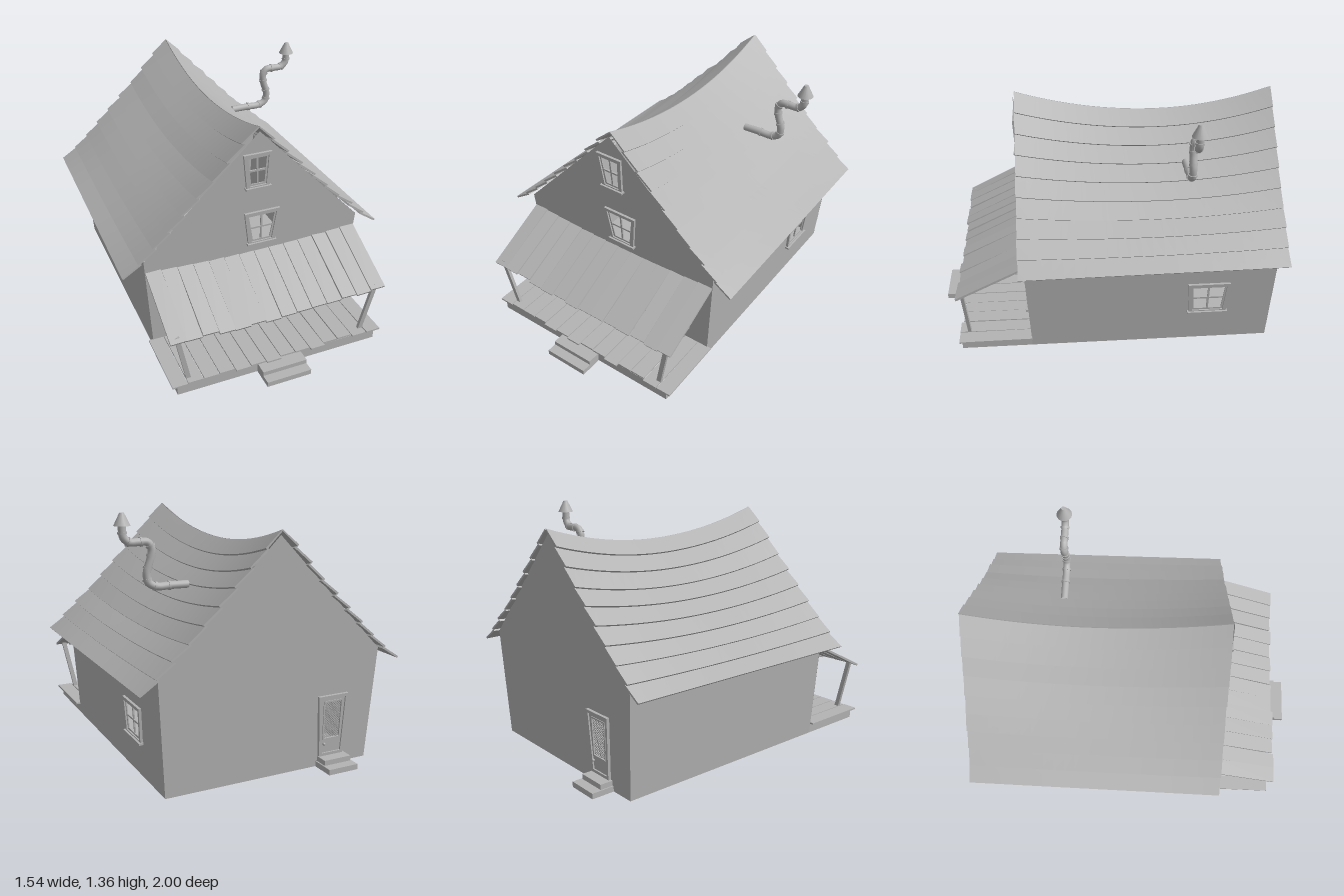
import * as THREE from 'three';

const grey = new THREE.MeshStandardMaterial({ color: 0xb3b3b3, side: THREE.DoubleSide });
grey.name = 'grey';

let seed = 7;
const rand = (a, b) => {
  seed = (seed * 16807) % 2147483647;
  return a + (b - a) * (seed / 2147483647);
};

function add(parent, name, geometry, x = 0, y = 0, z = 0) {
  const m = new THREE.Mesh(geometry, grey);
  m.name = name;
  m.position.set(x, y, z);
  parent.add(m);
  return m;
}
function group(parent, name) {
  const g = new THREE.Group();
  g.name = name;
  parent.add(g);
  return g;
}

// Crooked four-sided openings: [left, right, y] of the bottom, then of the top
const inset = (q, d) => [q[0] + d, q[1] - d, q[2] + d, q[3] + d, q[4] - d, q[5] - d];
const poly = (pts) => new THREE.Shape(pts.map((p) => new THREE.Vector2(p[0], p[1])));
const quad = (q) => poly([[q[0], q[2]], [q[1], q[2]], [q[4], q[5]], [q[3], q[5]]]);
const slab = (shape, depth) => new THREE.ExtrudeGeometry(shape, { depth, bevelEnabled: false });

// Straight bar in the wall plane
function bar(parent, name, a, b, width, depth, z) {
  const dx = b[0] - a[0], dy = b[1] - a[1];
  const m = add(parent, name, new THREE.BoxGeometry(Math.hypot(dx, dy), width, depth),
    (a[0] + b[0]) / 2, (a[1] + b[1]) / 2, z);
  m.rotation.z = Math.atan2(dy, dx);
}

function frame(parent, name, q, width, depth) {
  const s = quad(q);
  s.holes.push(quad(inset(q, width)));
  return add(parent, name, slab(s, depth));
}

function addWindow(parent, q) {
  const g = group(parent, 'window');
  frame(g, 'windowFrame', q, 0.018, 0.014);
  const i = inset(q, 0.014);
  const midY = (i[2] + i[5]) / 2;
  frame(g, 'windowSash', i, 0.014, 0.006);
  bar(g, 'verticalMuntin', [(i[0] + i[1]) / 2, i[2]], [(i[3] + i[4]) / 2, i[5]], 0.01, 0.008, 0);
  bar(g, 'crossMuntin', [(i[0] + i[3]) / 2, midY], [(i[1] + i[4]) / 2, midY], 0.01, 0.008, 0);
  add(g, 'windowSill', new THREE.BoxGeometry(q[1] - q[0] + 0.016, 0.012, 0.026),
    (q[0] + q[1]) / 2, q[2] + 0.006, 0.012);
}

// Door with a fine diagonal screen in its upper part
function addDoor(parent, q, pane, knob) {
  const g = group(parent, 'door');
  frame(g, 'doorFrame', q, 0.016, 0.016);
  const leaf = quad(inset(q, 0.014));
  leaf.holes.push(quad(pane));
  add(g, 'doorLeaf', slab(leaf, 0.008));
  frame(g, 'paneTrim', pane, 0.008, 0.012);
  const w = pane[1] - pane[0], h = pane[5] - pane[2];
  for (let c = -h + 0.008; c < w; c += 0.013) {
    const a = [Math.max(0, c), Math.max(0, -c)], b = [Math.min(w, h + c), Math.min(h, w - c)];
    bar(g, 'screenWire', [pane[0] + a[0], pane[2] + a[1]], [pane[0] + b[0], pane[2] + b[1]], 0.003, 0.003, 0.003);
    bar(g, 'screenWire', [pane[1] - a[0], pane[2] + a[1]], [pane[1] - b[0], pane[2] + b[1]], 0.003, 0.003, 0.003);
  }
  add(g, 'doorKnob', new THREE.SphereGeometry(0.008, 12, 8), knob[0], knob[1], 0.018);
}

// Flat wall with openings, turned to its side and leaning outward
function addWall(parent, name, outline, x, z, turn, lean, windows, door) {
  const g = group(parent, name);
  g.position.set(x, 0, z);
  g.rotation.set(lean, turn, 0, 'YXZ');
  const s = poly(outline);
  windows.forEach((q) => s.holes.push(quad(inset(q, 0.016))));
  if (door) s.holes.push(quad(door.pane));
  add(g, name + 'Panel', new THREE.ShapeGeometry(s));
  windows.forEach((q) => addWindow(g, q));
  if (door) addDoor(g, door.outer, door.pane, door.knob);
}

// Sagging, slightly flared roof surface: u = 0 at the ridge, 1 at the eave
const ridge = (z) => 1.18 + (z > -0.25 ? 0.21 : 0.25) * (z + 0.25) ** 2;
const roofY = (u, z) => ridge(z) + (0.555 - ridge(z)) * u - 0.1 * u * (1 - u);

function roofPlank(u0, u1, zBack, zFront, tilt) {
  const geo = new THREE.BoxGeometry(1, 1, 1, 1, 1, 24);
  const p = geo.attributes.position;
  for (let i = 0; i < p.count; i++) {
    const s = p.getX(i) + 0.5, t = p.getY(i) + 0.5;
    const z = zBack + (zFront - zBack) * (p.getZ(i) + 0.5);
    const u = u0 + (u1 - u0) * s;
    const lift = tilt * s + 0.011 * t - 0.008;
    p.setXYZ(i, Math.max(0, u * (0.748 + 0.01 * z) + lift * 0.7), roofY(u, z) + lift * 0.7, z);
  }
  geo.computeVertexNormals();
  return geo;
}

export function createModel() {
  const house = new THREE.Group();
  house.name = 'crookedCottage';

  // Walls
  const walls = group(house, 'walls');
  const gable = (peak) => [[-0.6, 0], [0.6, 0], [0.642, 0.625], [0, peak], [-0.642, 0.625]];
  addWall(walls, 'frontWall', gable(1.285), 0, 0.475, 0, 0.045, [
    [-0.065, 0.067, 0.95, -0.09, 0.073, 1.163],
    [-0.04, 0.118, 0.584, -0.07, 0.14, 0.796],
    [-0.457, -0.302, 0.143, -0.5, -0.285, 0.4],
    [0.286, 0.477, 0.147, 0.268, 0.495, 0.4],
  ], {
    outer: [-0.118, 0.1, 0.065, -0.142, 0.138, 0.41],
    pane: [-0.097, 0.08, 0.192, -0.1, 0.085, 0.37], knob: [0.063, 0.178],
  });
  addWall(walls, 'backWall', gable(1.27), 0, -0.87, Math.PI, 0.036, [], {
    outer: [0.29, 0.44, 0.06, 0.27, 0.455, 0.4],
    pane: [0.308, 0.42, 0.15, 0.305, 0.425, 0.37], knob: [0.315, 0.13],
  });
  const top = [];
  for (let i = 0; i <= 10; i++) {
    const z = -0.892 + 1.395 * (i / 10);
    top.push([-z, roofY(0.855, z) - 0.022]);
  }
  const side = [[-0.475, 0], [0.87, 0], ...top];
  addWall(walls, 'leftWall', side, 0.6, 0, Math.PI / 2, 0.065, [[0.41, 0.62, 0.195, 0.4, 0.635, 0.395]]);
  addWall(walls, 'rightWall', side.map(([x, y]) => [-x, y]).reverse(), -0.6, 0, -Math.PI / 2, 0.065, []);
  add(walls, 'floor', new THREE.BoxGeometry(1.2, 0.004, 1.345), 0, 0.002, -0.1975);

  // Roof planks on both slopes
  const roof = group(house, 'roof');
  for (const sx of [1, -1]) {
    for (let i = 0; i < 9; i++) {
      const u0 = Math.max(0, i / 9 - 0.008);
      const plank = roofPlank(u0, (i + 1) / 9, -0.93 + rand(0, 0.006), 0.53 - rand(0, 0.006), rand(0.008, 0.02));
      add(roof, 'roofPlank', plank).scale.x = sx;
    }
  }

  // Porch skirt and deck
  const porch = group(house, 'porch');
  add(porch, 'frontSkirt', new THREE.BoxGeometry(1.2, 0.058, 0.015), 0, 0.029, 0.862);
  for (const sx of [1, -1]) {
    add(porch, 'sideSkirt', new THREE.BoxGeometry(0.015, 0.058, 0.39), sx * 0.5925, 0.029, 0.67);
  }
  for (let i = 0; i < 14; i++) {
    const len = 0.405 + rand(-0.012, 0.012);
    const m = add(porch, 'deckPlank', new THREE.BoxGeometry(0.086, 0.009, len),
      -0.587 + i * 0.0903, 0.063 + rand(-0.001, 0.002), 0.475 + len / 2);
    m.rotation.y = rand(-0.008, 0.008);
  }

  // Leaning porch posts
  for (const sx of [1, -1]) {
    const a = new THREE.Vector3(sx * 0.525, 0.062, 0.83), b = new THREE.Vector3(sx * 0.59, 0.375, 0.847);
    const post = add(porch, 'porchPost', new THREE.BoxGeometry(0.026, a.distanceTo(b), 0.018));
    post.position.copy(a).lerp(b, 0.5);
    post.quaternion.setFromUnitVectors(new THREE.Vector3(0, 1, 0), b.clone().sub(a).normalize());
  }

  // Porch roof planks, dipping in the middle
  for (let i = 0; i < 14; i++) {
    const x = -0.59 + i * 0.0908;
    const dip = 0.025 * (1 - (x / 0.6) ** 2);
    const len = 0.425 + rand(-0.008, 0.006);
    const geo = new THREE.BoxGeometry(0.088, 0.012, len);
    geo.translate(0, 0, len / 2);
    const m = add(porch, 'porchRoofPlank', geo, x, 0.55 - dip, 0.493);
    m.rotation.set(0.46 + rand(-0.012, 0.012), rand(-0.008, 0.008), rand(-0.04, 0.04));
  }

  // Front and back steps
  const steps = group(house, 'steps');
  add(steps, 'frontLowerStep', new THREE.BoxGeometry(0.262, 0.03, 0.13), -0.005, 0.015, 0.935);
  add(steps, 'frontUpperStep', new THREE.BoxGeometry(0.262, 0.025, 0.075), -0.005, 0.0425, 0.907);
  add(steps, 'backLowerStep', new THREE.BoxGeometry(0.18, 0.03, 0.135), -0.37, 0.015, -0.9325);
  add(steps, 'backUpperStep', new THREE.BoxGeometry(0.165, 0.028, 0.08), -0.37, 0.044, -0.905);

  // Bent stovepipe with joint rings and a conical cap
  const chimney = group(house, 'stovepipe');
  const path = new THREE.CatmullRomCurve3([
    [0.26, 0.965], [0.36, 0.967], [0.44, 0.967], [0.485, 0.99], [0.495, 1.04], [0.472, 1.12], [0.467, 1.17],
    [0.49, 1.202], [0.54, 1.205], [0.59, 1.207], [0.62, 1.235], [0.625, 1.27], [0.625, 1.31],
  ].map(([x, y]) => new THREE.Vector3(x, y, -0.415)));
  add(chimney, 'pipe', new THREE.TubeGeometry(path, 60, 0.021, 14));
  for (const t of [0.16, 0.28, 0.37, 0.46, 0.56, 0.64, 0.73, 0.83, 0.92]) {
    const ring = add(chimney, 'pipeRing', new THREE.CylinderGeometry(0.025, 0.025, 0.012, 14));
    ring.position.copy(path.getPointAt(t));
    ring.quaternion.setFromUnitVectors(new THREE.Vector3(0, 1, 0), path.getTangentAt(t));
  }
  add(chimney, 'pipeCap', new THREE.CylinderGeometry(0.012, 0.044, 0.065, 14), 0.625, 1.325, -0.415);

  return house;
}
